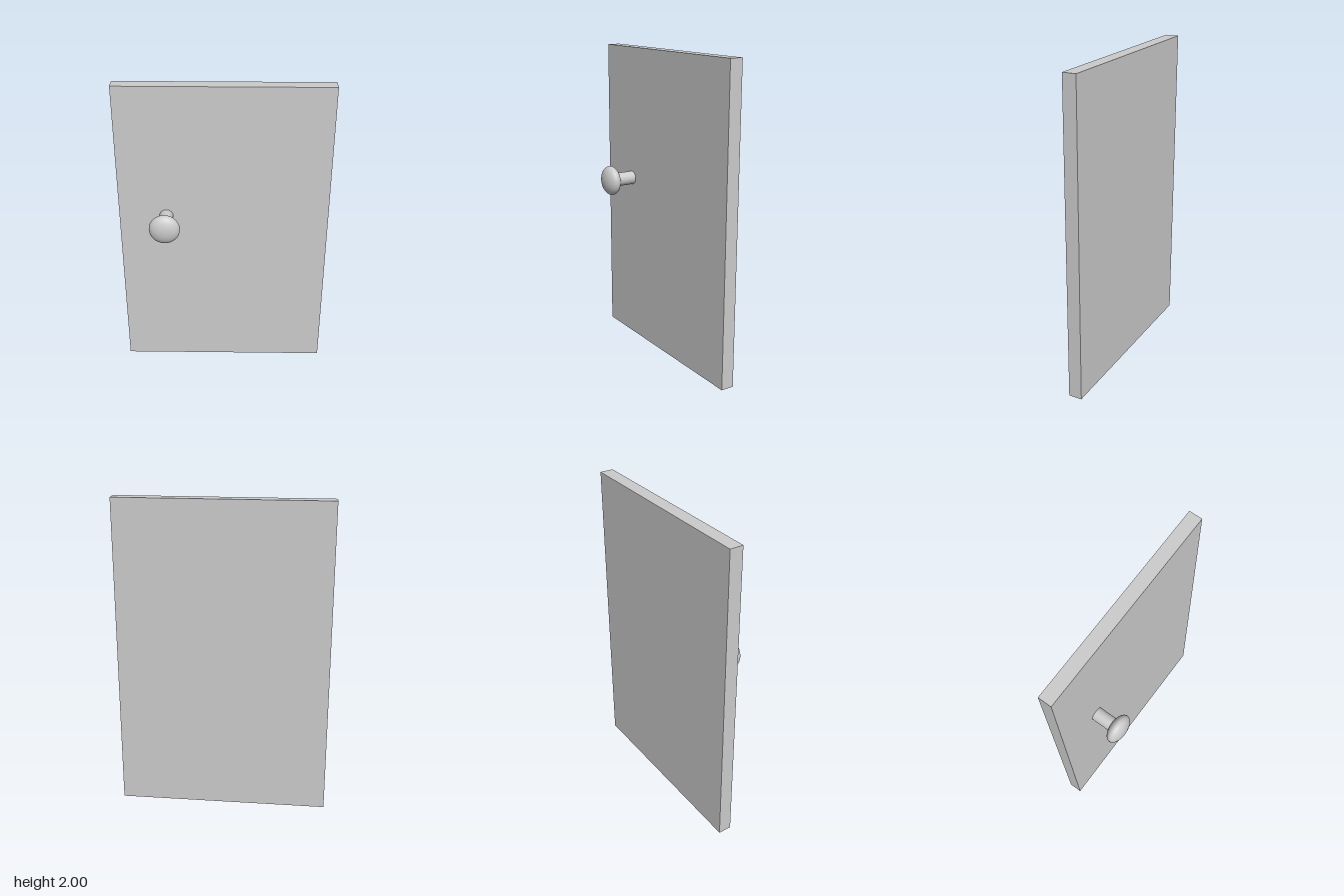
import * as THREE from 'three';

export function createModel() {
  const group = new THREE.Group();
  const material = new THREE.MeshStandardMaterial({ color: 0xcccccc });

  const add = (name, geometry, x, y, z, parent = group) => {
    const mesh = new THREE.Mesh(geometry, material);
    mesh.name = name;
    mesh.position.set(x, y, z);
    parent.add(mesh);
    return mesh;
  };

  // Flat door panel
  add('doorPanel', new THREE.BoxGeometry(1.334, 2, 0.085), 0, 1, -0.109);

  // Knob: round stem from the panel face, capped by a flattened ball
  const knob = new THREE.Group();
  knob.name = 'knob';
  knob.position.set(-0.367, 1.13, 0);
  group.add(knob);

  const stem = new THREE.CylinderGeometry(0.044, 0.044, 0.18, 48).rotateX(Math.PI / 2);
  add('knobStem', stem, 0, 0, 0.01, knob);

  const head = new THREE.SphereGeometry(0.097, 48, 32).rotateX(Math.PI / 2);
  add('knobHead', head, 0, 0, 0.1, knob).scale.z = 0.053;
  knob.getObjectByName('knobHead').scale.z = 0.051 / 0.097;

  return group;
}
